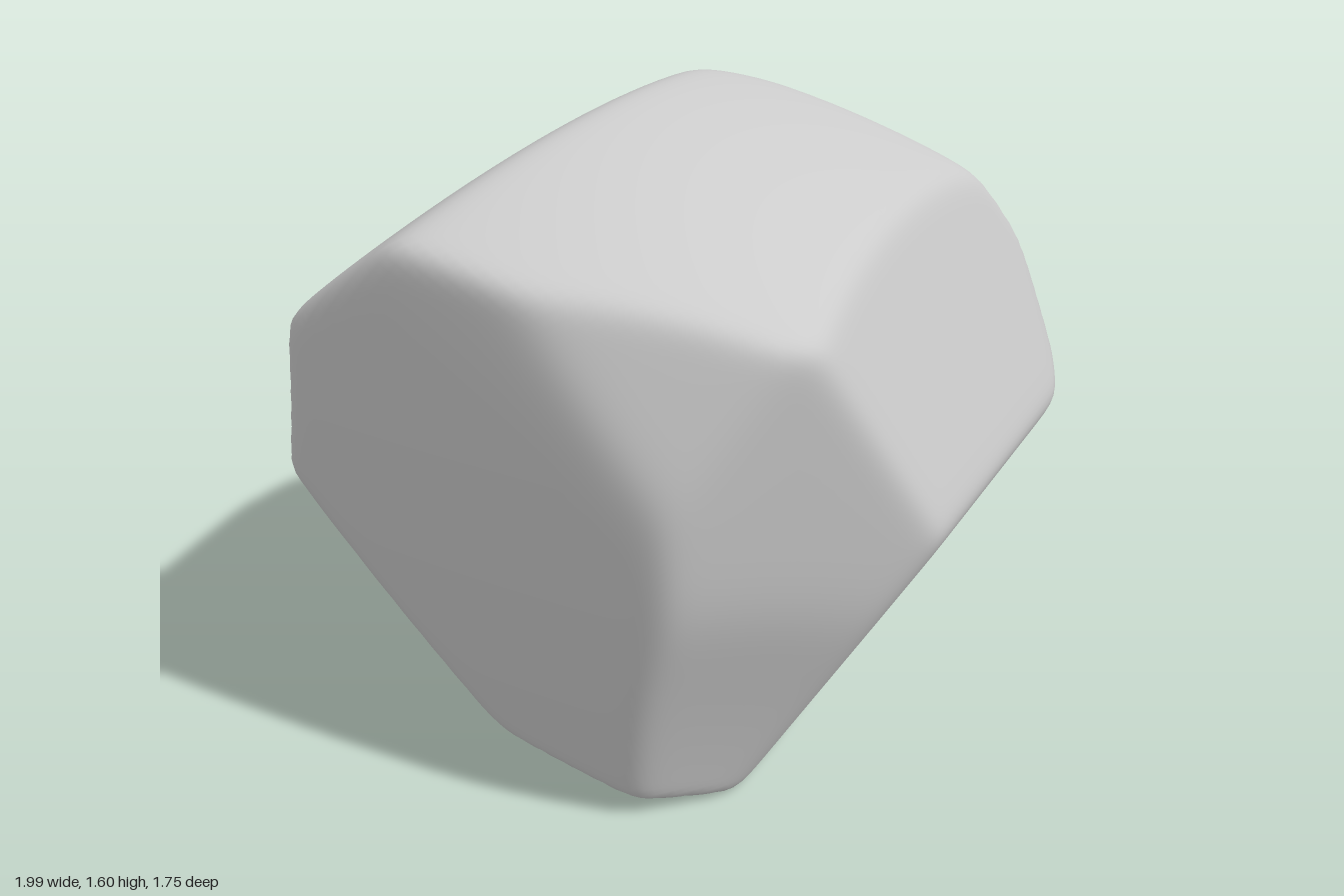
import * as THREE from 'three';
import { mergeVertices } from 'three/addons/utils/BufferGeometryUtils.js';

const v = (x, y, z) => new THREE.Vector3(x, y, z);
const CENTER = v(0, 0.8, 0);

// Corners of the boulder, shared by its facets
const c = {
  crest: v(0.02, 1.31, 0.87), crestRight: v(0.67, 1.37, -0.02),
  crestBack: v(-0.02, 1.6, -0.2), crestLeft: v(-0.65, 1.44, 0.52),
  rimFront: v(0.35, 1.39, 0.46), rimRight: v(0.67, 1.35, 0.07),
  ridge: v(0.3, 1.48, -0.27), shoulder: v(0.97, 1.02, -0.17),
  brow: v(-0.45, 1.37, 0.73), nose: v(-0.29, 0.88, 0.86),
  frontMid: v(0.45, 0.73, 0.72), frontLow: v(-0.05, 0.05, 0.58),
  side: v(1, 0.72, -0.04), sideBack: v(0.89, 0.74, -0.49),
  sideLow: v(0.73, 0.17, -0.1), sideLowBack: v(0.67, 0.2, -0.38),
  backRight: v(0.66, 0.85, -0.7), back: v(-0.03, 0.71, -0.88), backLow: v(-0.16, 0.38, -0.76),
  backLeft: v(-0.53, 0.92, -0.6), backLeftLow: v(-0.41, 0.245, -0.53),
  leftBack: v(-0.76, 0.66, -0.35), leftBackTop: v(-0.73, 1.15, -0.27),
  leftTop: v(-0.92, 1.21, 0.29), left: v(-1.01, 0.83, 0.16), leftLow: v(-0.54, 0.155, 0.37),
  frontLeftLow: v(-0.3, 0.15, 0.58), foot: v(0.15, 0, 0.35), footBack: v(0.2, 0.05, -0.2),
};

// Best-fit face through a loop of corners; bulge > 0 domes it, < 0 dishes it
function facet(points, bulge = 0) {
  const normal = v(0, 0, 0), mid = v(0, 0, 0);
  points.forEach((p, i) => {
    mid.addScaledVector(p, 1 / points.length);
    normal.add(p.clone().cross(points[(i + 1) % points.length]));
  });
  normal.normalize();
  if (normal.dot(mid.clone().sub(CENTER)) < 0) normal.negate();
  const spread = points.reduce((s, p) => s + p.distanceToSquared(mid), 0) / points.length;
  return (p) => normal.x * (p.x - mid.x) + normal.y * (p.y - mid.y) + normal.z * (p.z - mid.z)
    + bulge * (p.distanceToSquared(mid) - spread);
}

const facets = [
  // Top
  facet([c.crest, c.crestRight, c.crestBack, c.crestLeft], 0.26),
  facet([c.crest, c.rimFront, c.rimRight, v(0.25, 1.53, 0), v(-0.08, 1.53, 0.4)], 0.15),
  facet([c.crestLeft, v(-0.02, 1.65, -0.2), c.backLeft, c.leftBackTop, c.leftTop], 0.1),
  // Front
  facet([c.crest, c.brow, c.nose]),
  facet([c.frontMid, c.crest, c.nose]),
  facet([v(-0.28, 0.65, 0.82), c.frontLow, v(0.25, 0.55, 0.73)], -0.08),
  facet([c.crestLeft, c.leftTop, c.left, c.leftLow, c.frontLeftLow, c.nose], 0.08),
  // Right side
  facet([c.frontMid, c.crest, c.rimFront, c.rimRight, c.side]),
  facet([c.frontMid, c.side, c.sideLow, c.frontLow]),
  facet([c.ridge, c.crestRight, c.shoulder, c.backRight], 0.1),
  facet([c.side, c.shoulder, c.backRight, c.sideBack], 0.15),
  facet([v(0.92, 0.6, -0.16), v(0.78, 0.6, -0.55), c.sideLowBack]),
  // Back
  facet([c.crestBack, c.ridge, c.backRight, c.back]),
  facet([c.backRight, c.back, c.backLow, c.sideLowBack]),
  facet([c.backLeft, c.back, c.backLow, c.backLeftLow, c.leftBack], -0.08),
  // Left side
  facet([c.leftTop, c.left, c.leftBack, c.leftBackTop], -0.18),
  facet([c.left, c.leftLow, c.backLeftLow, c.leftBack]),
  // Underside
  facet([c.foot, c.leftLow, c.backLeftLow]),
  facet([c.foot, c.footBack, c.sideLow]),
  facet([v(0.1, 0.06, -0.2), c.backLow, c.sideLowBack]),
];

// Soft maximum of all facets, so that neighbours meet in worn edges
const SHARPNESS = 70;
function inside(p) {
  let sum = 0;
  for (const f of facets) sum += Math.exp(SHARPNESS * Math.min(f(p), 1));
  return sum < 2.4;
}

export function createModel() {
  const group = new THREE.Group();
  let geometry = new THREE.IcosahedronGeometry(1, 52);
  geometry.deleteAttribute('normal');
  geometry.deleteAttribute('uv');
  geometry = mergeVertices(geometry, 1e-5);

  // Push every point of the ball out to the worn surface
  const pos = geometry.attributes.position;
  const dir = v(0, 0, 0), p = v(0, 0, 0);
  for (let i = 0; i < pos.count; i++) {
    dir.fromBufferAttribute(pos, i).normalize();
    let near = 0, far = 1.5;
    for (let k = 0; k < 18; k++) {
      const r = (near + far) / 2;
      p.copy(CENTER).addScaledVector(dir, r);
      if (inside(p)) near = r; else far = r;
    }
    p.copy(CENTER).addScaledVector(dir, near);
    pos.setXYZ(i, p.x, p.y, p.z);
  }

  // Centre it and stand it on the ground
  geometry.computeBoundingBox();
  const mid = geometry.boundingBox.getCenter(v(0, 0, 0));
  geometry.translate(-mid.x, -geometry.boundingBox.min.y, -mid.z);
  geometry.computeVertexNormals();

  const boulder = new THREE.Mesh(geometry, new THREE.MeshStandardMaterial({ color: 0xcccccc }));
  boulder.name = 'boulder';
  group.add(boulder);
  return group;
}
